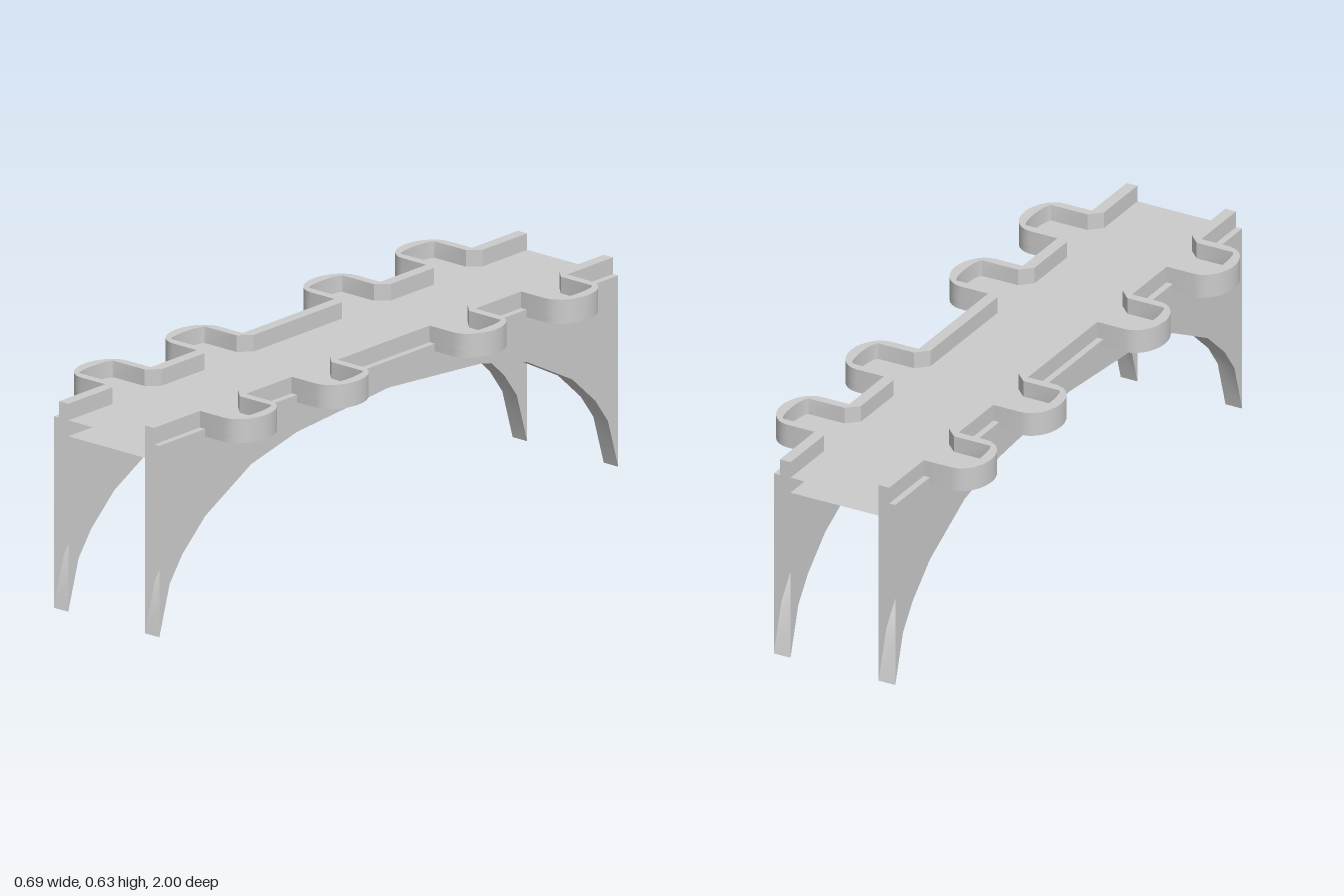
import * as THREE from 'three';
import { toCreasedNormals } from 'three/addons/utils/BufferGeometryUtils.js';

const material = new THREE.MeshStandardMaterial({ color: 0xcccccc, side: THREE.DoubleSide });

const DECK = 0.578, TOP = 0.628, BAY_BOTTOM = 0.555, CEILING = 0.53;
const OUTER = 0.2, RAIL = 0.18, INNER = 0.145;
const BAYS = [0.7, 0.3, -0.3, -0.7];

// Half of the arch curve as [z, y], mirrored to the other end
const halfArch = [[1, 0], [0.955, 0.15], [0.9, 0.225], [0.8, 0.315], [0.6, 0.42], [0.4, 0.466]];
const arch = [...halfArch, [0, 0.497], ...halfArch.map(([z, y]) => [-z, y]).reverse()];

// Surface between two equally long rows of [x, y, z] points
function strip(a, b) {
  const index = [];
  const n = a.length;
  for (let i = 0; i < n - 1; i++) index.push(i, i + 1, n + i + 1, i, n + i + 1, n + i);
  const geometry = new THREE.BufferGeometry();
  geometry.setAttribute('position', new THREE.Float32BufferAttribute([...a, ...b].flat(), 3));
  geometry.setIndex(index);
  return toCreasedNormals(geometry, 0.6);
}

// Horizontal face from an outline of [x, z] points
function flat(outline, y) {
  const shape = new THREE.Shape(outline.map(([x, z]) => new THREE.Vector2(x, -z)));
  return new THREE.ShapeGeometry(shape).rotateX(-Math.PI / 2).translate(0, y, 0);
}

// Half-oval end of a bay, running from +z to -z
function oval(x, rx, rz, centre, steps = 14) {
  return Array.from({ length: steps + 1 }, (_, i) => {
    const t = (Math.PI * i) / steps;
    return [x + rx * Math.sin(t), centre + rz * Math.cos(t)];
  });
}

const bayOutline = (c) => [[OUTER, c + 0.1], ...oval(0.27, 0.075, 0.1, c), [OUTER, c - 0.1]];

// Plan lines of the parapet's outer and inner faces
const outerLine = [[RAIL, 1],
  ...BAYS.flatMap((c) => [[RAIL, c + 0.1], ...bayOutline(c), [RAIL, c - 0.1]]),
  [RAIL, -1]];
const innerLine = [[INNER, 1],
  ...BAYS.flatMap((c) => [
    [INNER, c + 0.107], [RAIL, c + 0.073],
    ...oval(0.297, 0.016, 0.073, c),
    [RAIL, c - 0.073], [INNER, c - 0.107]]),
  [INNER, -1]];

export function createModel() {
  const model = new THREE.Group();
  const add = (parent, name, geometry) => {
    const mesh = new THREE.Mesh(geometry, material);
    mesh.name = name;
    parent.add(mesh);
  };

  // Road deck with its bay floors, and the ceiling below it
  const mirrored = innerLine.map(([x, z]) => [-x, z]).reverse();
  add(model, 'deck', flat([...innerLine, ...mirrored], DECK));
  add(model, 'ceiling', flat([[INNER, 1], [INNER, -1], [-INNER, -1], [-INNER, 1]], CEILING));

  for (const s of [1, -1]) {
    const side = new THREE.Group();
    side.name = s > 0 ? 'leftSide' : 'rightSide';
    model.add(side);

    const plan = (line) => line.map(([x, z]) => [s * x, z]);
    const rise = (line, y) => line.map(([x, z]) => [s * x, y, z]);
    const archRow = (x) => arch.map(([z, y]) => [s * x, y, z]);
    const levelRow = (x) => arch.map(([z]) => [s * x, DECK, z]);
    const surface = (a, b) => (s > 0 ? strip(a, b) : strip(b, a));

    // Arched wall, open at both ends
    add(side, 'outerArchWall', surface(archRow(OUTER), levelRow(OUTER)));
    add(side, 'innerArchWall', surface(levelRow(INNER), archRow(INNER)));
    add(side, 'archSoffit', surface(archRow(INNER), archRow(OUTER)));

    // Parapet following the bays
    add(side, 'parapetOuterFace', surface(rise(outerLine, DECK), rise(outerLine, TOP)));
    add(side, 'parapetInnerFace', surface(rise(innerLine, TOP), rise(innerLine, DECK)));
    add(side, 'parapetTop', flat(plan([...outerLine, ...[...innerLine].reverse()]), TOP));

    // Narrow ledge outside the parapet, between the bays
    const stops = [1, ...BAYS.flatMap((c) => [c + 0.1, c - 0.1]), -1];
    for (let i = 0; i < stops.length; i += 2) {
      const [z0, z1] = [stops[i], stops[i + 1]];
      add(side, 'ledge', flat(plan([[RAIL, z0], [OUTER, z0], [OUTER, z1], [RAIL, z1]]), DECK));
    }

    // Lower rim and underside of each bay
    for (const c of BAYS) {
      const outline = bayOutline(c);
      add(side, 'bayRim', surface(rise(outline, BAY_BOTTOM), rise(outline, DECK)));
      // turned over so that it faces down
      const underside = flat(outline.map(([x, z]) => [s * x, -z]), 0);
      add(side, 'bayUnderside', underside.rotateX(Math.PI).translate(0, BAY_BOTTOM, 0));
    }
  }
  return model;
}
